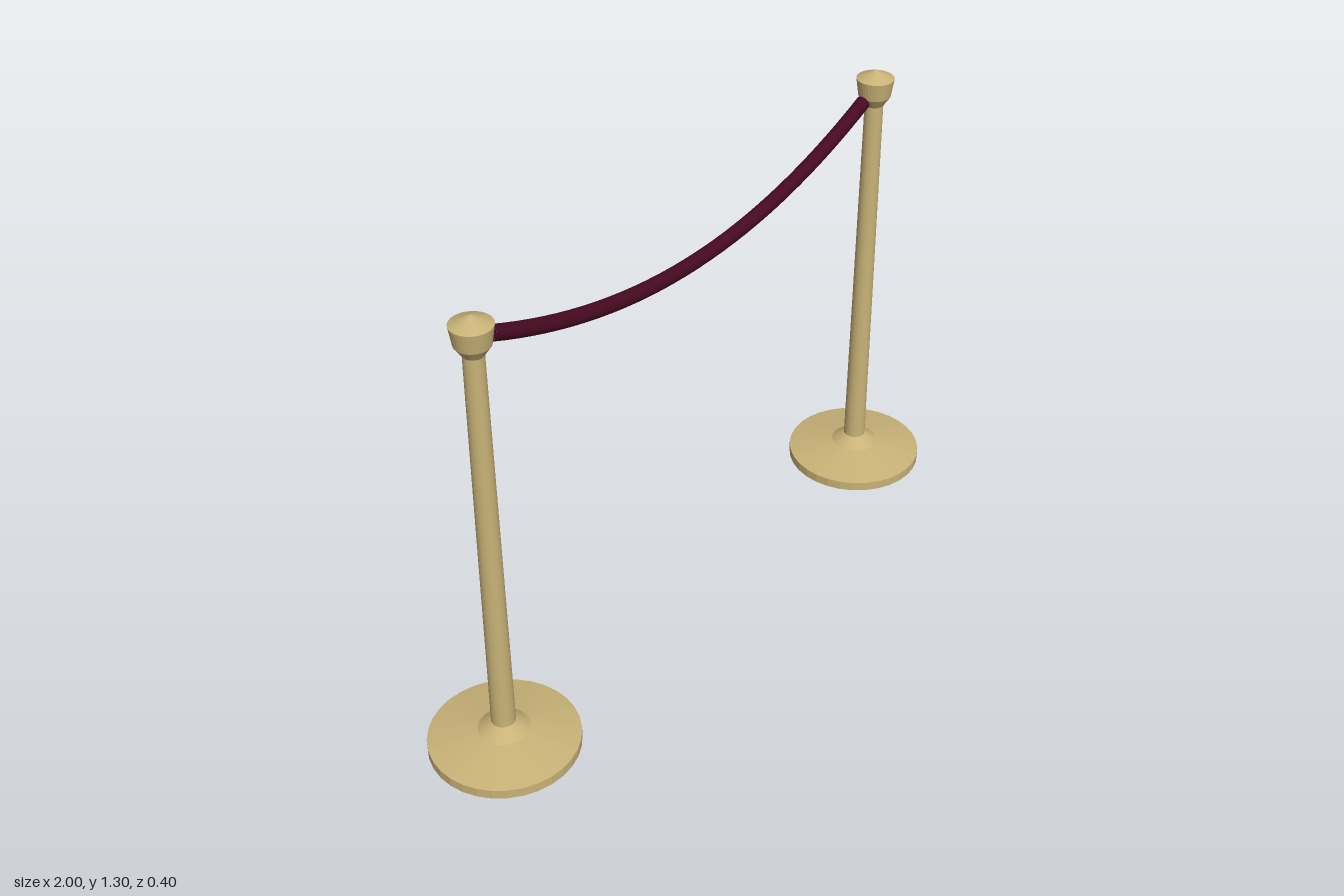
import * as THREE from 'three';

export function createModel() {
  const group = new THREE.Group();
  const brass = new THREE.MeshStandardMaterial({ name: 'brass', color: 0xc8b277, flatShading: true });
  const velvet = new THREE.MeshStandardMaterial({ name: 'darkRedVelvet', color: 0x470a20 });

  // Turned parts of one post, as radius and height
  const profiles = {
    base: [[0, 0], [0.2, 0], [0.2, 0.027], [0.068, 0.053], [0.032, 0.08]],
    pole: [[0.032, 0.08], [0.026, 1.2]],
    finial: [[0.026, 1.2], [0.045, 1.228], [0.053, 1.28], [0, 1.305]],
  };
  for (const side of [-1, 1]) {
    const post = new THREE.Group();
    post.name = side > 0 ? 'leftPost' : 'rightPost';
    post.position.x = side * 0.8;
    for (const [name, profile] of Object.entries(profiles)) {
      const points = profile.map(([r, y]) => new THREE.Vector2(r, y));
      const part = new THREE.Mesh(new THREE.LatheGeometry(points, 32), brass);
      part.name = name;
      post.add(part);
    }
    group.add(post);
  }

  // Rope sagging between the posts
  const rope = new THREE.Group();
  rope.name = 'rope';
  const curve = new THREE.QuadraticBezierCurve3(
    new THREE.Vector3(-0.745, 1.228, 0),
    new THREE.Vector3(0, 0.908, 0),
    new THREE.Vector3(0.745, 1.228, 0),
  );
  const cord = new THREE.Mesh(new THREE.TubeGeometry(curve, 32, 0.02, 12), velvet);
  cord.name = 'cord';
  rope.add(cord);

  // Flat discs closing the rope ends
  for (const t of [0, 1]) {
    const cap = new THREE.Mesh(new THREE.CircleGeometry(0.02, 12), velvet);
    cap.name = 'ropeEnd';
    const outward = curve.getTangent(t).multiplyScalar(t ? 1 : -1);
    cap.quaternion.setFromUnitVectors(new THREE.Vector3(0, 0, 1), outward);
    cap.position.copy(curve.getPoint(t));
    rope.add(cap);
  }
  group.add(rope);
  return group;
}
